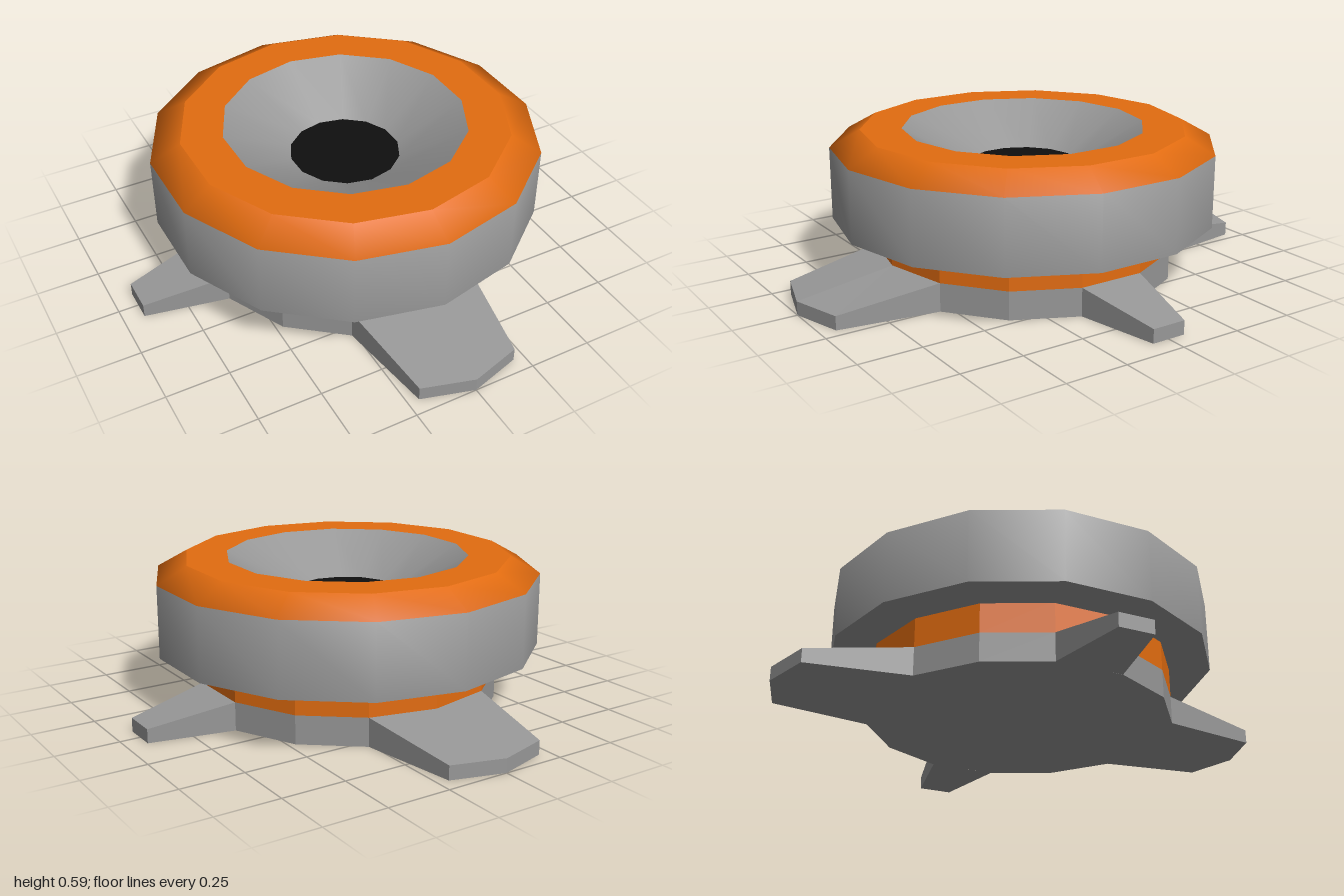
import * as THREE from 'three';

const SIDES = 14;
const BASE_TOP = 0.113, TIP_TOP = 0.055;

const material = (name, color) => {
  const m = new THREE.MeshStandardMaterial({ color });
  m.name = name;
  return m;
};

const addMesh = (group, name, geometry, mat) => {
  const mesh = new THREE.Mesh(geometry, mat);
  mesh.name = name;
  group.add(mesh);
  return mesh;
};

const turned = (...points) =>
  new THREE.LatheGeometry(points.map(([r, y]) => new THREE.Vector2(r, y)), SIDES);

// Faceted 14-sided drum between two heights
function drum(radius, y0, y1) {
  const g = new THREE.CylinderGeometry(radius, radius, y1 - y0, SIDES).toNonIndexed();
  g.translate(0, (y0 + y1) / 2, 0);
  g.computeVertexNormals();
  return g;
}

// Sloping foot along +z; root and tip are [x, z] points listed from -x to +x
function footGeometry(root, tip) {
  const out = [];
  const quad = (a, b, c, d) => out.push(...a, ...b, ...c, ...a, ...c, ...d);
  const at = (list, y) => list.map(([x, z]) => [x, y, z]);
  const R = at(root, BASE_TOP), T = at(tip, TIP_TOP), RB = at(root, 0), TB = at(tip, 0);
  const n = root.length - 1;
  for (let i = 0; i < n; i++) {
    quad(R[i], T[i], T[i + 1], R[i + 1]);
    quad(T[i], TB[i], TB[i + 1], T[i + 1]);
    quad(RB[i], RB[i + 1], TB[i + 1], TB[i]);
  }
  quad(R[0], RB[0], TB[0], T[0]);
  quad(R[n], T[n], TB[n], RB[n]);
  const g = new THREE.BufferGeometry();
  g.setAttribute('position', new THREE.Float32BufferAttribute(out, 3));
  g.computeVertexNormals();
  return g;
}

export function createModel() {
  const model = new THREE.Group();
  model.name = 'turretBase';
  const grey = material('grey metal', 0x979797);
  const orange = material('orange paint', 0xe26c10);
  const black = material('black opening', 0x0f0f0f);

  // Base plate and neck
  addMesh(model, 'basePlate', drum(0.605, 0, BASE_TOP), grey);
  addMesh(model, 'neck', drum(0.605, BASE_TOP, 0.24), orange);

  // Wide feet front and back, narrow feet left and right
  const wide = footGeometry(
    [[-0.2625, 0.545], [0, 0.605], [0.2625, 0.545]],
    [[-0.205, 0.94], [0, 1], [0.205, 0.94]]);
  const narrow = footGeometry([[-0.135, 0.59], [0.135, 0.59]], [[-0.07, 0.92], [0.07, 0.92]]);
  ['frontFoot', 'leftFoot', 'backFoot', 'rightFoot'].forEach((name, i) => {
    addMesh(model, name, i % 2 ? narrow : wide, grey).rotation.y = i * Math.PI / 2;
  });

  // Head: the grey wall blends smoothly into the orange bevel
  const shell = turned([0.77, 0.23], [0.77, 0.52], [0.65, 0.588]);
  for (let i = 0; i < SIDES; i++) {
    shell.addGroup(i * 12, 6, 0);
    shell.addGroup(i * 12 + 6, 6, 1);
  }
  addMesh(model, 'headShell', shell, [grey, orange]);
  addMesh(model, 'headUnderside', turned([0.5, 0.23], [0.77, 0.23]), grey);
  addMesh(model, 'topRim', turned([0.65, 0.588], [0.485, 0.588]), orange);

  // Funnel and its dark opening
  addMesh(model, 'funnel', turned([0.485, 0.588], [0.22, 0.435]), grey);
  addMesh(model, 'opening', turned([0.22, 0.435], [0, 0.435]), black);

  return model;
}
